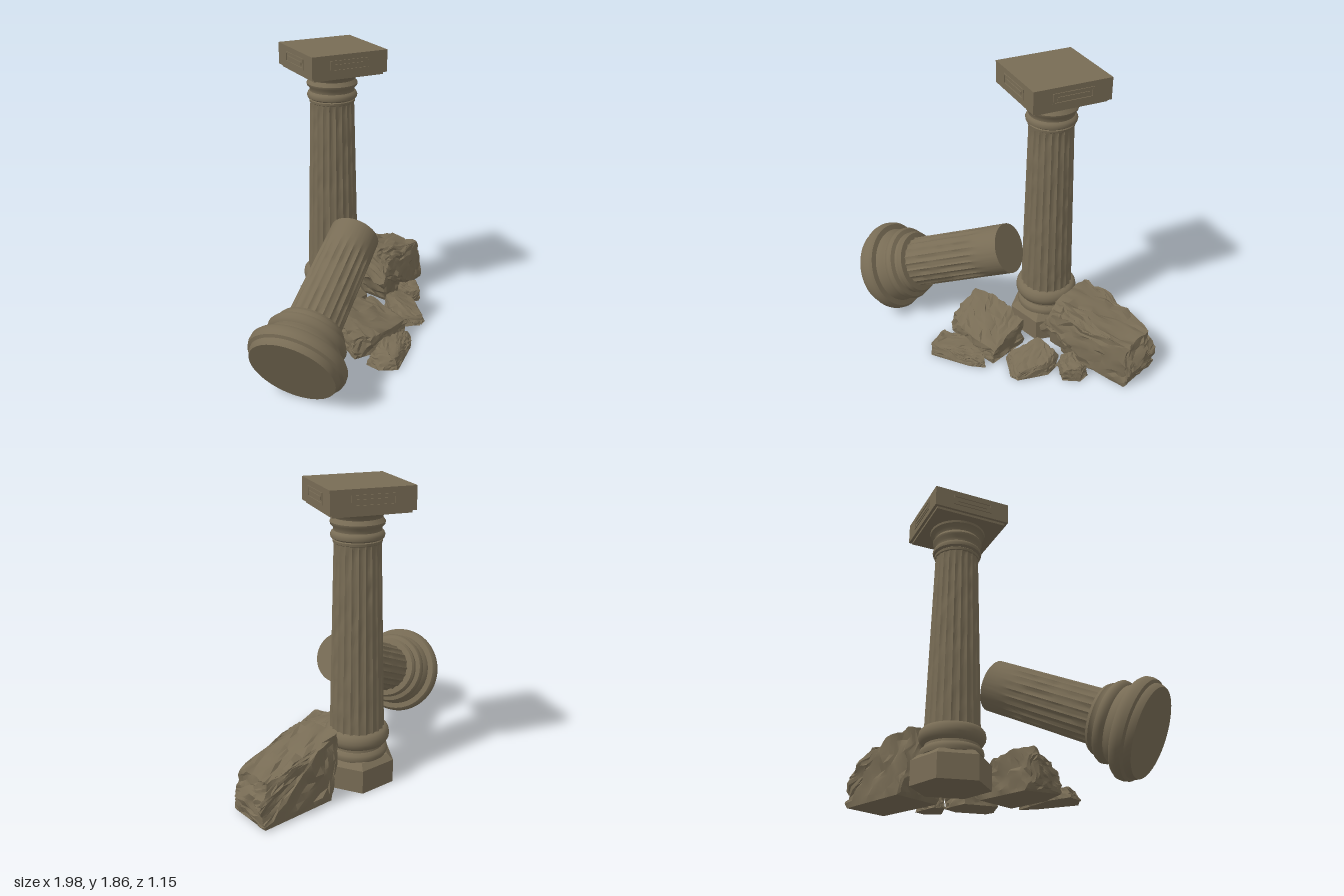
import * as THREE from 'three';
import { toCreasedNormals, mergeVertices } from 'three/addons/utils/BufferGeometryUtils.js';
import { ConvexGeometry } from 'three/addons/geometries/ConvexGeometry.js';

const stone = new THREE.MeshStandardMaterial({ color: 0x786c55 });
stone.name = 'weathered stone';

function add(parent, name, geometry, x = 0, y = 0, z = 0) {
  const mesh = new THREE.Mesh(geometry, stone);
  mesh.name = name;
  mesh.position.set(x, y, z);
  parent.add(mesh);
  return mesh;
}

// Repeatable value in -1..1 from whole numbers
function hash(a, b = 0, c = 0) {
  const s = Math.sin(a * 127.1 + b * 311.7 + c * 74.7) * 43758.5453;
  return (s - Math.floor(s)) * 2 - 1;
}

// Turned mouldings from [radius, height] pairs
function turned(profile) {
  const lathe = new THREE.LatheGeometry(profile.map(([r, y]) => new THREE.Vector2(r, y)), 64);
  return toCreasedNormals(lathe, 0.7);
}

// Tapered shaft with worn, uneven flutes; fade is the plain length at the top
function flutedShaft(rBottom, rTop, height, fade) {
  const flutes = 22;
  const geo = new THREE.CylinderGeometry(rTop, rBottom, height, flutes * 6, 28);
  const p = geo.attributes.position;
  for (let i = 0; i < p.count; i++) {
    const x = p.getX(i), y = p.getY(i), z = p.getZ(i);
    const r = Math.hypot(x, z);
    if (r < 0.01) continue;
    const turn = ((Math.atan2(z, x) / (2 * Math.PI) + 1.00001) % 1) * flutes;
    const groove = Math.pow(Math.sin((turn % 1) * Math.PI), 0.7);
    const wear = 0.75 + 0.35 * hash(Math.floor(turn), Math.round(y * 14));
    const plain = THREE.MathUtils.smoothstep(height / 2 - y, fade * 0.4, fade + 0.01);
    const k = 1 - (0.011 * groove * wear * plain) / r;
    p.setXYZ(i, x * k, y, z * k);
  }
  geo.translate(0, height / 2, 0);
  return toCreasedNormals(geo, 0.6);
}

// Broken boulder: a hull split into small facets and roughened
function rock(points, rough) {
  let tris = ConvexTriangles(points);
  for (let pass = 0; pass < 3; pass++) {
    tris = tris.flatMap(([a, b, c]) => {
      const ab = a.clone().lerp(b, 0.5), bc = b.clone().lerp(c, 0.5), ca = c.clone().lerp(a, 0.5);
      return [[a, ab, ca], [ab, b, bc], [ca, bc, c], [ab, bc, ca]];
    });
  }
  const wobble = (v) => {
    if (v.y < 0.001) return v.clone();
    const q = [v.x, v.y, v.z].map((n) => Math.round(n * 1000));
    const wave = Math.sin(v.x * 31 + v.z * 17) * Math.sin(v.y * 37 + v.z * 23);
    const w = v.clone();
    w.x += rough * (0.35 * hash(q[0], q[1], q[2]) + 0.5 * wave);
    w.y += rough * (0.35 * hash(q[1], q[2], q[0]) + 0.5 * wave);
    w.z += rough * (0.35 * hash(q[2], q[0], q[1]) - 0.5 * wave);
    w.y = Math.max(0, w.y);
    return w;
  };
  const geo = new THREE.BufferGeometry().setFromPoints(tris.flat().map(wobble));
  return toCreasedNormals(mergeVertices(geo, 1e-5), 0.5);
}

function ConvexTriangles(points) {
  const p = new ConvexGeometry(points.map((v) => new THREE.Vector3(...v))).attributes.position;
  const tris = [];
  for (let i = 0; i < p.count; i += 3) {
    tris.push([0, 1, 2].map((k) => new THREE.Vector3().fromBufferAttribute(p, i + k)));
  }
  return tris;
}

function standingColumn() {
  const g = new THREE.Group();
  g.name = 'standingColumn';
  g.position.set(0.155, 0, -0.24);

  // Six-sided plinth with a bevelled top
  const plinth = new THREE.CylinderGeometry(0.24, 0.24, 0.15, 6).toNonIndexed();
  const bevel = new THREE.CylinderGeometry(0.2, 0.24, 0.035, 6).toNonIndexed();
  for (const [name, geo, y] of [['plinth', plinth, 0.075], ['plinthBevel', bevel, 0.1675]]) {
    geo.computeVertexNormals();
    add(g, name, geo, 0, y).rotation.y = Math.PI / 6 - 0.09;
  }

  add(g, 'baseMouldings', turned([
    [0.17, 0.17], [0.185, 0.18], [0.19, 0.2], [0.185, 0.22], [0.165, 0.235], [0.163, 0.25],
    [0.185, 0.262], [0.198, 0.285], [0.2, 0.305], [0.195, 0.33], [0.18, 0.348], [0.16, 0.355],
  ]));
  add(g, 'shaft', flutedShaft(0.168, 0.138, 1.18, 0.03), 0, 0.345);
  add(g, 'capitalMouldings', turned([
    [0.135, 1.505], [0.143, 1.51], [0.145, 1.525], [0.14, 1.53], [0.155, 1.54], [0.158, 1.555],
    [0.152, 1.57], [0.14, 1.58], [0.142, 1.6], [0.157, 1.615], [0.16, 1.63], [0.15, 1.645],
    [0.143, 1.655], [0.152, 1.675], [0.175, 1.69], [0.18, 1.715],
  ]));

  // Square top block with framed panels on all four sides
  const top = new THREE.Group();
  top.name = 'topBlock';
  top.rotation.y = -0.41;
  g.add(top);
  add(top, 'slab', new THREE.BoxGeometry(0.5, 0.136, 0.5), 0, 1.788);
  add(top, 'slabLip', new THREE.BoxGeometry(0.465, 0.02, 0.465), 0, 1.714);
  const rect = (Type, w, h) => new Type([[-w, -h], [w, -h], [w, h], [-w, h]].map(([x, y]) => new THREE.Vector2(x, y)));
  const frame = rect(THREE.Shape, 0.13, 0.033);
  frame.holes.push(rect(THREE.Path, 0.12, 0.023));
  const frameGeo = new THREE.ExtrudeGeometry(frame, { depth: 0.006, bevelEnabled: false });
  for (let i = 0; i < 4; i++) {
    const side = new THREE.Group();
    side.name = 'sidePanel';
    side.rotation.y = (i * Math.PI) / 2;
    top.add(side);
    add(side, 'panelFrame', frameGeo, 0, 1.79, 0.249);
    add(side, 'panelBar', new THREE.BoxGeometry(0.2, 0.018, 0.008), 0, 1.79, 0.251);
  }
  return g;
}

// Snapped column leaning on its wide base, broken end in the air
function fallenColumn() {
  const g = new THREE.Group();
  g.name = 'fallenColumn';
  g.position.set(-0.845, 0.25, 0.305);
  const axis = new THREE.Vector3(0.867, 0.42, -0.269).normalize();
  g.quaternion.setFromUnitVectors(new THREE.Vector3(0, 1, 0), axis);
  add(g, 'baseMouldings', turned([
    [0, -0.01], [0.265, -0.01], [0.275, 0.01], [0.277, 0.03], [0.295, 0.04], [0.302, 0.065],
    [0.3, 0.095], [0.285, 0.115], [0.25, 0.12], [0.245, 0.145], [0.232, 0.165], [0.225, 0.18],
    [0.242, 0.195], [0.246, 0.22], [0.235, 0.24], [0.208, 0.25], [0.206, 0.265], [0.212, 0.28],
    [0.2, 0.3], [0.16, 0.305],
  ]));
  add(g, 'brokenShaft', flutedShaft(0.168, 0.16, 0.76, 0.25), 0, 0.28);
  return g;
}

export function createModel() {
  const model = new THREE.Group();
  model.name = 'ruinedColumns';
  model.add(standingColumn(), fallenColumn());

  const rubble = new THREE.Group();
  rubble.name = 'rubble';
  model.add(rubble);
  add(rubble, 'largeBoulder', rock([
    [0.4, 0.41, -0.32], [0.4, 0.41, -0.08], [0.42, 0.34, 0.03], [0.35, 0.22, 0.05], [0.36, 0.2, -0.28],
    [0.48, 0, -0.04], [0.48, 0, -0.36], [0.6, 0.35, -0.37], [0.6, 0.33, -0.02], [0.92, 0.28, -0.08],
    [0.93, 0.28, -0.33], [0.99, 0.13, -0.1], [0.99, 0.13, -0.33], [0.95, 0, -0.05], [0.96, 0, -0.34],
    [0.62, 0.15, 0.02],
  ], 0.024));
  add(rubble, 'leftBoulder', rock([
    [-0.19, 0.265, 0.07], [0.03, 0.235, 0.04], [0.2, 0.19, 0.05], [-0.24, 0.13, 0.26], [-0.08, 0.14, 0.34],
    [0.2, 0.1, 0.34], [-0.24, 0, 0.27], [-0.07, 0, 0.34], [0.2, 0, 0.34], [0.21, 0, 0.06],
    [-0.14, 0, 0.06], [-0.23, 0.12, 0.12],
  ], 0.022));
  add(rubble, 'frontShard', rock([
    [-0.24, 0, 0.36], [-0.24, 0, 0.46], [-0.16, 0, 0.55], [0.1, 0, 0.46], [0.19, 0, 0.4], [-0.1, 0, 0.34],
    [-0.22, 0.07, 0.38], [-0.16, 0.08, 0.52], [0.02, 0.06, 0.46], [0.17, 0.04, 0.4], [0.08, 0.09, 0.36],
    [-0.1, 0.09, 0.35],
  ], 0.014));
  add(rubble, 'middleShard', rock([
    [0.34, 0, 0.06], [0.52, 0, 0.07], [0.53, 0, 0.18], [0.42, 0, 0.35], [0.36, 0, 0.35], [0.23, 0, 0.25],
    [0.35, 0.14, 0.07], [0.5, 0.12, 0.08], [0.51, 0.09, 0.18], [0.41, 0.05, 0.33], [0.25, 0.06, 0.24],
  ], 0.016));
  add(rubble, 'rightShard', rock([
    [0.52, 0, 0.07], [0.54, 0, 0.0], [0.63, 0, 0.16], [0.72, 0, 0.09], [0.72, 0, 0.01], [0.53, 0.09, 0.07],
    [0.58, 0.12, 0.02], [0.63, 0.08, 0.16], [0.7, 0.1, 0.08], [0.71, 0.08, 0.02],
  ], 0.014));
  return model;
}
